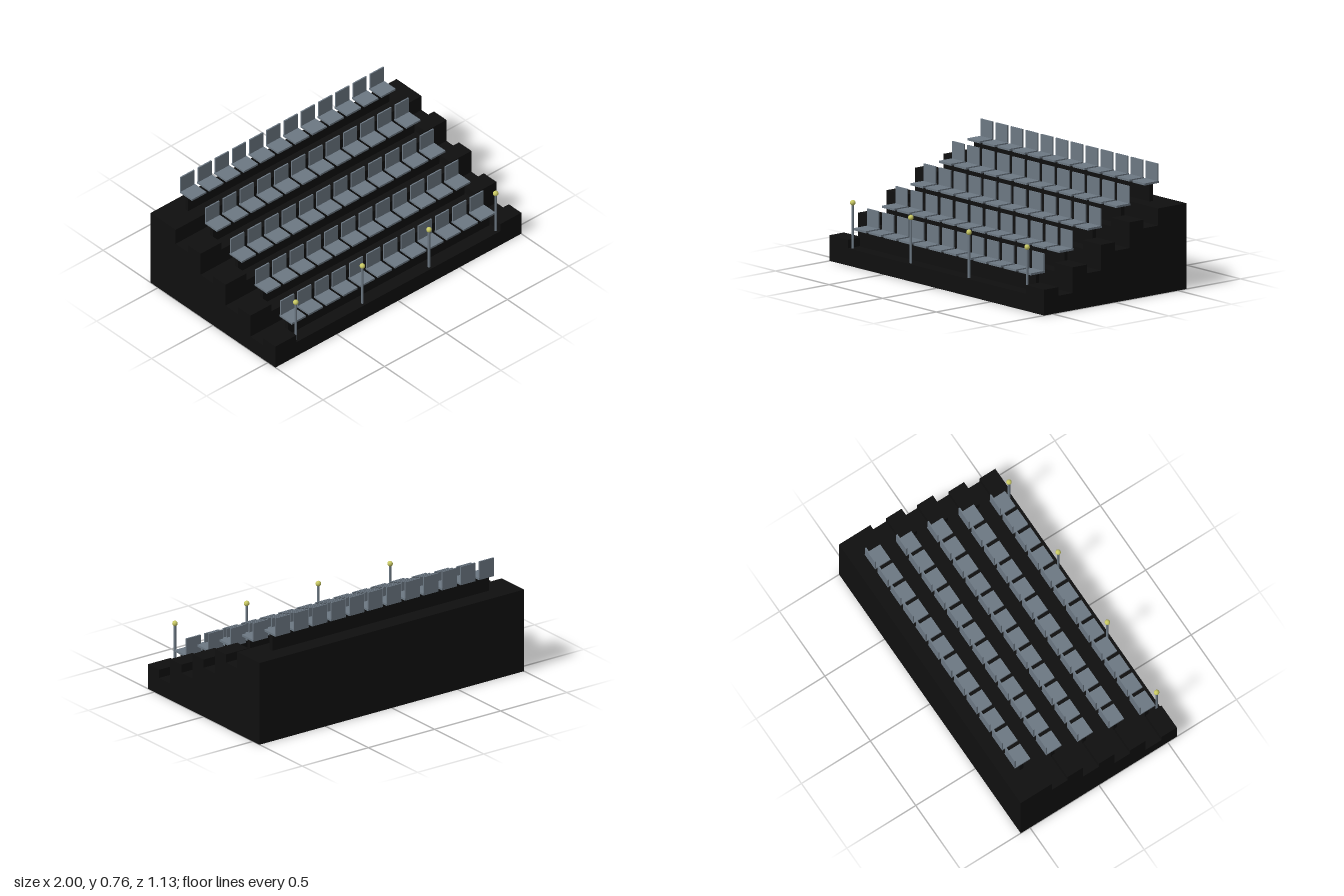
import * as THREE from 'three';

const ROWS = 5, SEATS = 12;
const RISE = 0.1067, RUN = 0.2268, FRONT = 0.567;

export function createModel() {
  const model = new THREE.Group();
  model.name = 'grandstand';
  const mat = (name, color) => new THREE.MeshStandardMaterial({ name, color });
  const black = mat('black', 0x0f0f0f);
  const grey = mat('slate grey', 0x6c7883);
  const yellow = mat('pale yellow', 0xc8c864);

  const add = (parent, name, geometry, material, x, y, z) => {
    const mesh = new THREE.Mesh(geometry, material);
    mesh.name = name;
    mesh.position.set(x, y, z);
    parent.add(mesh);
    return mesh;
  };

  // Stepped solid body: profile in (z, y), extruded across the full width
  const profile = new THREE.Shape();
  profile.moveTo(-FRONT, 0);
  profile.lineTo(FRONT, 0);
  for (let i = 0; i < ROWS; i++) {
    profile.lineTo(FRONT - i * RUN, (i + 1) * RISE);
    profile.lineTo(FRONT - (i + 1) * RUN, (i + 1) * RISE);
    if (i < ROWS - 1) profile.lineTo(FRONT - (i + 1) * RUN, (i + 2) * RISE);
  }
  const body = new THREE.ExtrudeGeometry(profile, { depth: 2, bevelEnabled: false });
  body.translate(0, 0, -1);
  body.rotateY(-Math.PI / 2);
  add(model, 'terraces', body, black, 0, 0, 0);

  const stepGeo = new THREE.BoxGeometry(0.17, RISE / 2, RUN / 2);
  const barGeo = new THREE.BoxGeometry(1.64, RISE, 0.026);
  const panGeo = new THREE.BoxGeometry(0.115, 0.013, 0.112);
  const backGeo = new THREE.BoxGeometry(0.109, 0.108, 0.009);

  for (let i = 0; i < ROWS; i++) {
    const floor = (i + 1) * RISE;
    const front = FRONT - i * RUN;
    const row = new THREE.Group();
    row.name = 'row' + (i + 1);
    model.add(row);

    // Aisle half-steps at both ends
    if (i < ROWS - 1) {
      for (const s of [-1, 1]) {
        add(row, 'aisleStep', stepGeo, black, s * 0.915, floor + RISE / 4, front - RUN / 4);
      }
    }

    // Long support carrying the seats
    add(row, 'seatSupport', barGeo, black, 0, floor + RISE / 2, front - 0.101);

    // Seats with upright backs
    for (let k = 0; k < SEATS; k++) {
      const seat = new THREE.Group();
      seat.name = 'seat';
      seat.position.set((k - (SEATS - 1) / 2) * 0.14, floor + RISE, front - 0.099);
      row.add(seat);
      add(seat, 'seatPan', panGeo, grey, 0, 0.0065, 0);
      add(seat, 'seatBack', backGeo, grey, 0, 0.066, -0.0515);
    }
  }

  // Front posts topped with balls
  const postGeo = new THREE.CylinderGeometry(0.008, 0.008, 0.28, 12);
  const ballGeo = new THREE.SphereGeometry(0.017, 16, 12);
  for (const x of [-0.813, -0.271, 0.271, 0.813]) {
    const post = new THREE.Group();
    post.name = 'frontPost';
    post.position.set(x, RISE, 0.543);
    model.add(post);
    add(post, 'pole', postGeo, grey, 0, 0.14, 0);
    add(post, 'ball', ballGeo, yellow, 0, 0.283, 0);
  }
  return model;
}
